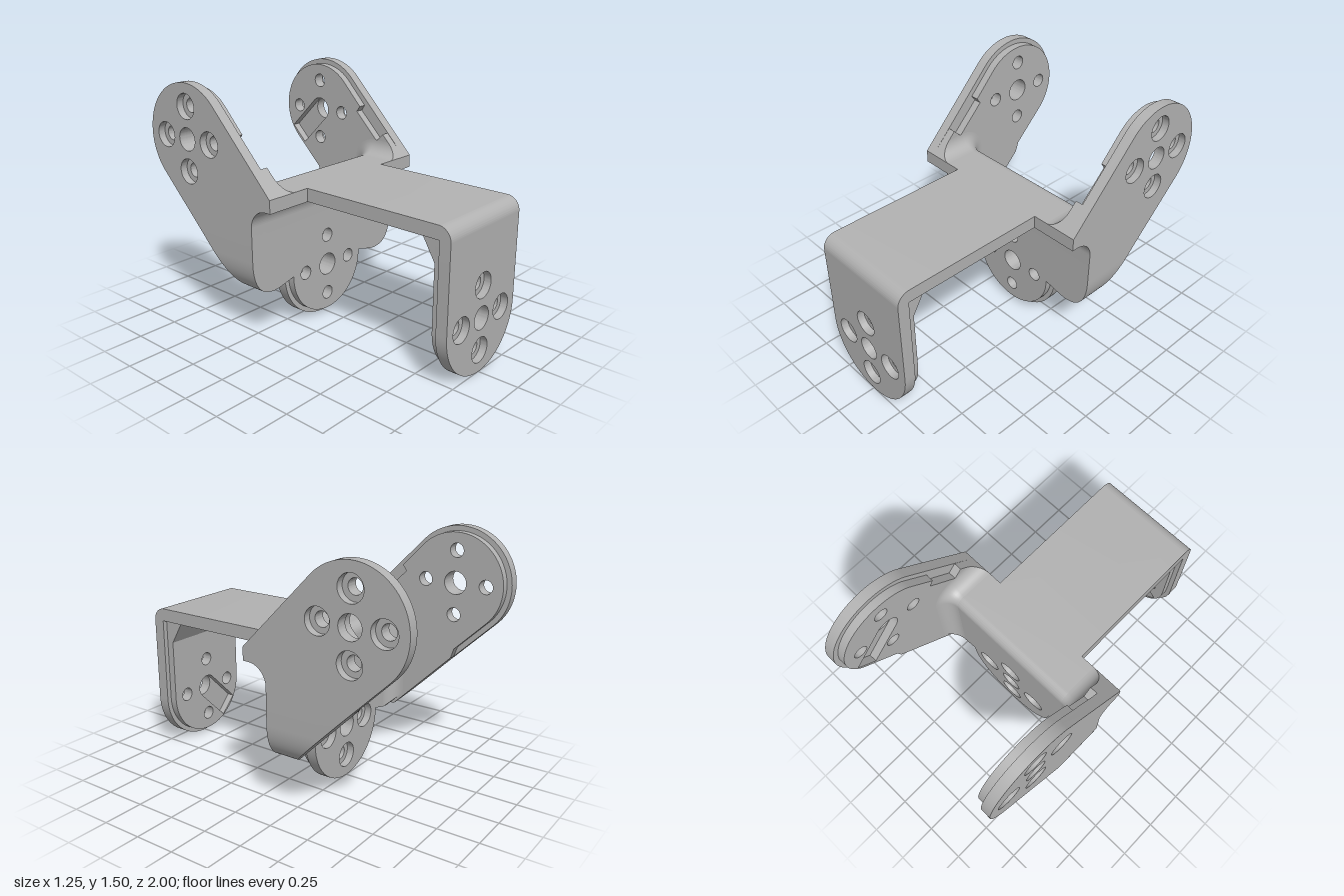
import * as THREE from 'three';
import { mergeGeometries, toCreasedNormals } from 'three/addons/utils/BufferGeometryUtils.js';

const grey = new THREE.MeshStandardMaterial({ color: 0xb2b2b2 });
grey.name = 'grey plastic';

const polygon = (pts) => new THREE.Shape(pts.map(([x, y]) => new THREE.Vector2(x, y)));
const extrude = (shape, depth) =>
  new THREE.ExtrudeGeometry(shape, { depth, bevelEnabled: false, curveSegments: 28 });

function addMesh(parent, name, geometry) {
  const mesh = new THREE.Mesh(toCreasedNormals(geometry, 0.5), grey);
  mesh.name = name;
  parent.add(mesh);
  return mesh;
}

// Shape in (x, y), extruded from z0 to z1
function facing(parent, name, shape, z0, z1) {
  return addMesh(parent, name, extrude(shape, z1 - z0).translate(0, 0, z0));
}

// Shape in (-z, y), extruded from x0 to x1
function sideways(parent, name, shape, x0, x1) {
  return addMesh(parent, name, extrude(shape, x1 - x0).rotateY(Math.PI / 2).translate(x0, 0, 0));
}

// Centre hole (or horn slot) with four screw holes around it
function drill(shape, cx, cy, screwRadius, slotAngle) {
  const circle = (x, y, r) => shape.holes.push(new THREE.Path().absarc(x, y, r, 0, Math.PI * 2, false));
  for (let i = 0; i < 4; i++) {
    const a = (i * Math.PI) / 2;
    circle(cx + 0.195 * Math.cos(a), cy + 0.195 * Math.sin(a), screwRadius);
  }
  if (slotAngle === undefined) {
    circle(cx, cy, 0.07);
  } else {
    const w = 0.075, len = 0.285, c = Math.cos(slotAngle), s = Math.sin(slotAngle);
    const slot = new THREE.Path();
    slot.absarc(cx, cy, w, slotAngle + Math.PI / 2, slotAngle + Math.PI * 1.5, false);
    slot.lineTo(cx + len * c + w * s, cy + len * s - w * c);
    slot.lineTo(cx + len * c - w * s, cy + len * s + w * c);
    slot.closePath();
    shape.holes.push(slot);
  }
  return shape;
}

// Round-ended tongue hanging from height top
function tongue(r, top, screwRadius, slotAngle) {
  const s = new THREE.Shape();
  s.moveTo(r, top);
  s.lineTo(-r, top);
  s.lineTo(-r, 0.335);
  s.absarc(0, 0.335, r, Math.PI, Math.PI * 2, false);
  s.closePath();
  return drill(s, 0, 0.335, screwRadius, slotAngle);
}

// Lower front edge shared by the arms and the web: rises and curves under the top
function underside(s) {
  s.moveTo(0.135, 0.65);
  s.lineTo(0.135, 0.745);
  s.absarc(0.015, 0.745, 0.12, 0, Math.PI / 2, false);
  s.lineTo(-0.02, 0.865);
  s.lineTo(-0.02, 0.945);
}

function armShape(screwRadius) {
  const s = new THREE.Shape();
  underside(s);
  s.absarc(0.665, 1.17, 0.333, Math.PI * 0.75, -Math.PI / 4, true);
  s.lineTo(0.61, 0.65);
  s.closePath();
  return drill(s, 0.665, 1.17, screwRadius);
}

// Inner pad of an arm: set in from the rim, notched behind a small stop block
function padShape(slotAngle) {
  const s = new THREE.Shape();
  underside(s);
  for (const [u, v] of [[0.115, 1.08], [0.165, 1.03], [0.335, 1.2], [0.31, 1.235]]) s.lineTo(u, v);
  s.absarc(0.665, 1.17, 0.302, Math.PI * 0.75, -Math.PI / 4, true);
  s.lineTo(0.68, 0.762);
  s.lineTo(0.66, 0.70);
  s.lineTo(0.61, 0.65);
  s.closePath();
  return drill(s, 0.665, 1.17, 0.043, slotAngle);
}

// Concave fillet swept over the top of the web and down its back, at the arm
function filletGeometry(side) {
  const stations = [[0.02, 0.945, 0, 1, -1, 0]];  // z, y, normal z, normal y, cut slopes
  for (let i = 0; i <= 8; i++) {
    const a = (i / 8) * (Math.PI / 2);
    stations.push([-0.19 - 0.06 * Math.sin(a), 0.885 + 0.06 * Math.cos(a), -Math.sin(a), Math.cos(a), 0, 0]);
  }
  stations.push([-0.25, 0.315, -1, 0, 0, 1]);
  const n = 10, pos = [], idx = [], caps = [];
  const point = ([z, y, nz, ny, cz, cy], x, h) => [side * x, y + ny * h + cy * h, z + nz * h + cz * h];
  const section = (j) => {
    const t = (j / n) * (Math.PI / 2);
    return [0.42 + 0.09 * Math.sin(t), 0.09 - 0.09 * Math.cos(t)];
  };
  stations.forEach((st) => {
    for (let j = 0; j <= n; j++) pos.push(...point(st, ...section(j)));
  });
  for (let i = 0; i < stations.length - 1; i++) {
    for (let j = 0; j < n; j++) {
      const a = i * (n + 1) + j, b = a + 1, c = a + n + 1, d = c + 1;
      if (side > 0) idx.push(a, b, c, b, d, c);
      else idx.push(a, c, b, b, c, d);
    }
  }
  // Flat ends
  [0, stations.length - 1].forEach((k, end) => {
    for (let j = 0; j < n; j++) {
      const tri = [point(stations[k], 0.51, 0), point(stations[k], ...section(j + 1)), point(stations[k], ...section(j))];
      if ((side > 0) === (end === 1)) tri.reverse();
      caps.push(...tri.flat());
    }
  });
  const make = (p) => new THREE.BufferGeometry().setAttribute('position', new THREE.Float32BufferAttribute(p, 3));
  return mergeGeometries([make(pos).setIndex(idx).toNonIndexed(), make(caps)]);
}

export function createModel() {
  const model = new THREE.Group();
  model.name = 'jointBracket';

  // Top plate with its rounded front bend
  const top = new THREE.Shape();
  top.moveTo(-0.02, 0.945);
  top.lineTo(-0.02, 0.865);
  top.lineTo(-0.93, 0.865);
  top.lineTo(-0.93, 0.8);
  top.lineTo(-1, 0.8);
  top.absarc(-0.92, 0.865, 0.08, Math.PI, Math.PI / 2, true);
  top.closePath();
  sideways(model, 'topPlate', top, -0.33, 0.33);

  // Front tongue: counterbored face, screw seat, slotted inner pad, gusset
  facing(model, 'frontTongueFace', tongue(0.33, 0.8, 0.077), 0.955, 1);
  facing(model, 'frontTongueSeat', tongue(0.33, 0.8, 0.043), 0.93, 0.955);
  facing(model, 'frontTonguePad', tongue(0.3, 0.865, 0.043, -Math.PI * 0.75), 0.885, 0.93);
  sideways(model, 'frontGusset',
    polygon([[-0.93, 0.72], [-0.885, 0.72], [-0.8, 0.865], [-0.93, 0.865]]), -0.3, 0.3);

  // Rear tongue, mirrored in depth and without a slot
  facing(model, 'rearTongueFace', tongue(0.33, 0.65, 0.077), -0.25, -0.205);
  facing(model, 'rearTongueSeat', tongue(0.33, 0.65, 0.043), -0.205, -0.18);
  facing(model, 'rearTonguePad', tongue(0.3, 0.65, 0.043), -0.18, -0.135);

  // Upper web between the arms
  const web = new THREE.Shape();
  underside(web);
  web.absarc(0.19, 0.885, 0.06, Math.PI / 2, 0, true);
  web.lineTo(0.25, 0.65);
  web.closePath();
  sideways(model, 'upperWeb', web, -0.51, 0.51);

  for (const side of [1, -1]) {
    const label = side > 0 ? 'left' : 'right';
    const span = (a, b) => (side > 0 ? [a, b] : [-b, -a]);

    // Lower web beside the rear tongue
    facing(model, label + 'LowerWeb', polygon([[0.3, 0.345], [0.33, 0.337], [0.42, 0.315], [0.47, 0.31],
      [0.51, 0.317], [0.51, 0.65], [0.3, 0.65]].map(([x, y]) => [side * x, y])), -0.25, -0.135);

    // Rounded lower lobe, its back cut on the slope of the arm
    const lobe = new THREE.Shape();
    lobe.moveTo(side * 0.51, 0.65);
    lobe.lineTo(side * 0.51, 0.317);
    lobe.bezierCurveTo(side * 0.575, 0.33, side * 0.625, 0.4, side * 0.625, 0.53);
    lobe.lineTo(side * 0.625, 0.65);
    lobe.closePath();
    const lobeGeometry = extrude(lobe, 1);
    const p = lobeGeometry.attributes.position;
    for (let i = 0; i < p.count; i++) {
      p.setZ(i, p.getZ(i) > 0.5 ? -0.135 : -0.27 - (p.getY(i) - 0.31));
    }
    lobeGeometry.computeVertexNormals();
    addMesh(model, label + 'LowerLobe', lobeGeometry);

    // Arm: counterbored face, screw seat, inner pad (slotted on the left)
    sideways(model, label + 'ArmFace', armShape(0.077), ...span(0.58, 0.625));
    sideways(model, label + 'ArmSeat', armShape(0.043), ...span(0.56, 0.58));
    sideways(model, label + 'ArmPad', padShape(side > 0 ? -Math.PI / 4 : undefined), ...span(0.51, 0.56));

    addMesh(model, label + 'Fillet', filletGeometry(side));
  }
  return model;
}
